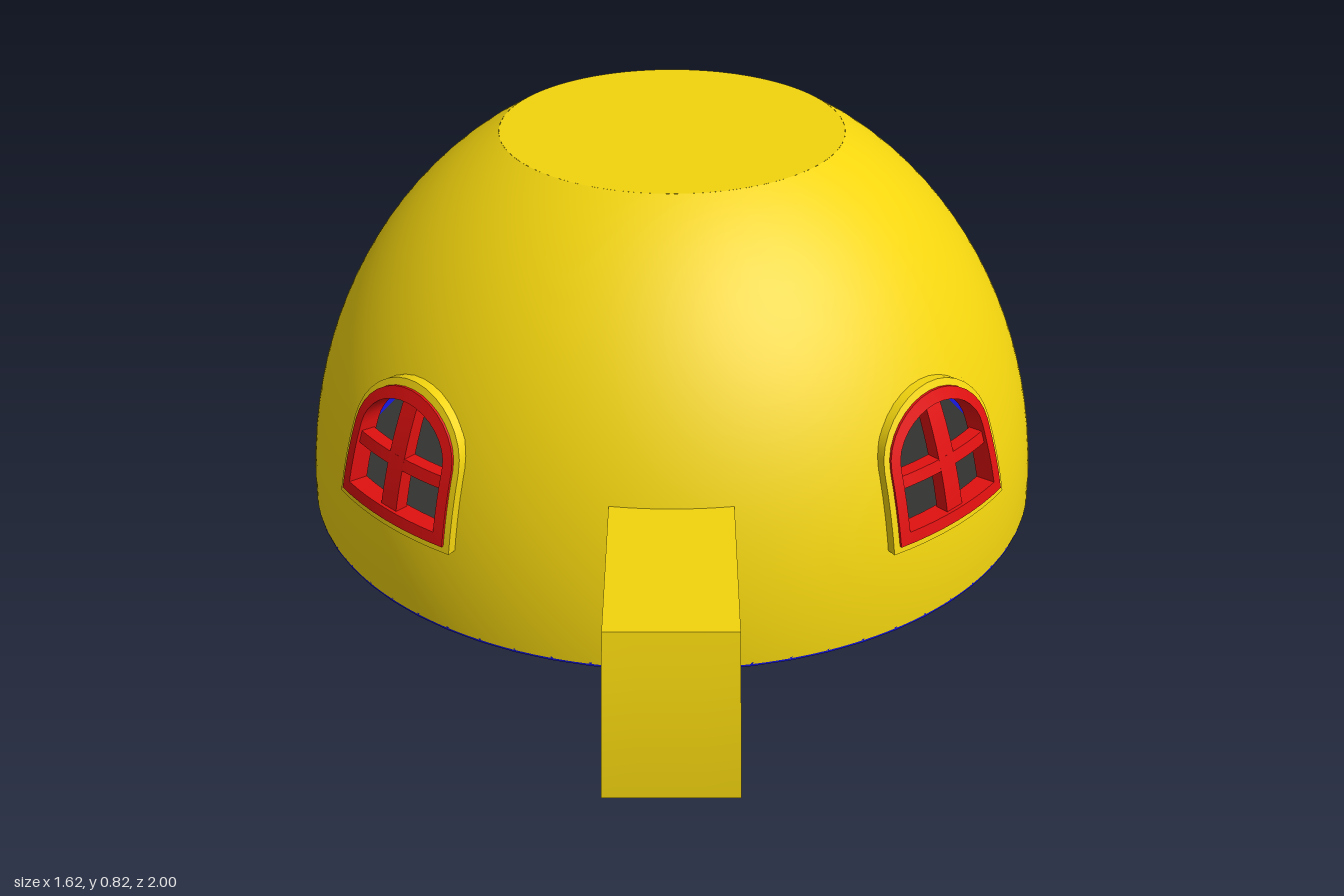
import * as THREE from 'three';
import { toCreasedNormals } from 'three/addons/utils/BufferGeometryUtils.js';
import { ParametricGeometry } from 'three/addons/geometries/ParametricGeometry.js';

const DOME_Z = -0.19, RADIUS = 0.81, HEIGHT = 0.92, TOP = 0.82, BASE = 0.005, SEAM = 0.545;
const WINDOWS = [Math.PI / 4, -Math.PI / 4, Math.PI * 3 / 4];
const HALF = 0.155, SILL = 0.2, SPRING = 0.35, ARCH = 0.11, BEND = 0.78;

const material = (color, side = THREE.FrontSide) =>
  new THREE.MeshStandardMaterial({ color, side });
const yellow = material(0xf2d40e);
const shell = material(0xf2d40e, THREE.DoubleSide);
const red = material(0xe01010);
const blue = material(0x1414d0);
const dark = material(0x333331);
const grey = material(0xcccccc);

function add(parent, name, geometry, mat) {
  const mesh = new THREE.Mesh(geometry, mat);
  mesh.name = name;
  parent.add(mesh);
  return mesh;
}

// Dome radius at a height, and a point on the dome pushed out by w
const domeRadius = y => RADIUS * Math.sqrt(1 - (y / HEIGHT) ** 2);
function onDome(angle, y, w, target = new THREE.Vector3()) {
  const r = domeRadius(y) + w;
  return target.set(r * Math.sin(angle), y, r * Math.cos(angle));
}

// Top edge of the wall opening at an angle; equals the sill where there is no window
function openingTop(angle) {
  for (const centre of WINDOWS) {
    const turn = Math.atan2(Math.sin(angle - centre), Math.cos(angle - centre));
    const s = turn * BEND / (HALF - 0.008);
    if (Math.abs(s) < 1) return SPRING + (ARCH - 0.008) * Math.sqrt(1 - s * s);
  }
  return SILL + 0.01;
}

// Wall patch between two edges given as functions of the angle
function wall(low, high, rows) {
  return new ParametricGeometry((u, v, target) => {
    const angle = u * Math.PI * 2;
    onDome(angle, THREE.MathUtils.lerp(low(angle), high(angle), v), 0, target);
  }, 240, rows);
}

// Closed window outline, inset by d (negative grows it), counter-clockwise
function outline(d) {
  const a = HALF - d, points = [];
  for (let i = 0; i < 8; i++) points.push([-a + 2 * a * i / 8, SILL + d]);
  for (let i = 0; i < 4; i++) points.push([a, SILL + d + (SPRING - SILL - d) * i / 4]);
  for (let i = 0; i <= 16; i++) {
    const t = Math.PI * i / 16;
    points.push([a * Math.cos(t), SPRING + (ARCH - d) * Math.sin(t)]);
  }
  for (let i = 1; i < 4; i++) points.push([-a, SPRING - (SPRING - SILL - d) * i / 4]);
  return points;
}

// Rectangular strip between two edges, bent over the dome
function band(outer, inner, w0, w1, closed) {
  const n = outer.length, positions = [], index = [];
  for (let i = 0; i < n; i++) {
    for (const [p, w] of [[outer[i], w0], [outer[i], w1], [inner[i], w1], [inner[i], w0]]) {
      positions.push(...onDome(p[0] / BEND, p[1], w).toArray());
    }
  }
  for (let i = 0; i < (closed ? n : n - 1); i++) {
    for (let k = 0; k < 4; k++) {
      const a = i * 4 + k, b = ((i + 1) % n) * 4 + k;
      const d = i * 4 + (k + 1) % 4, c = ((i + 1) % n) * 4 + (k + 1) % 4;
      index.push(a, b, d, b, c, d);
    }
  }
  const geometry = new THREE.BufferGeometry();
  geometry.setAttribute('position', new THREE.Float32BufferAttribute(positions, 3));
  geometry.setIndex(index);
  return toCreasedNormals(geometry, 0.6);
}

// Straight glazing bar running from one point to another
function glazingBar(from, to, width) {
  const length = Math.hypot(to[0] - from[0], to[1] - from[1]);
  const nx = (to[1] - from[1]) / length * width / 2, ny = -(to[0] - from[0]) / length * width / 2;
  const right = [], left = [];
  for (let i = 0; i <= 8; i++) {
    const x = from[0] + (to[0] - from[0]) * i / 8, y = from[1] + (to[1] - from[1]) * i / 8;
    right.push([x + nx, y + ny]);
    left.push([x - nx, y - ny]);
  }
  return band(right, left, -0.01, 0.018, false);
}

function createWindow() {
  const group = new THREE.Group();
  add(group, 'windowCasing', band(outline(-0.014), outline(0.004), -0.02, 0.02, true), yellow);
  add(group, 'windowFrame', band(outline(0), outline(0.024), -0.015, 0.025, true), red);
  add(group, 'verticalBar', glazingBar([0, SILL + 0.01], [0, SPRING + ARCH - 0.01], 0.046), red);
  add(group, 'horizontalBar', glazingBar([-HALF + 0.01, 0.32], [HALF - 0.01, 0.32], 0.024), red);
  return group;
}

// Flat ring of the floor, with an upper and a lower face
function addFloorRing(parent, name, inner, outer, mat) {
  const ring = new THREE.RingGeometry(inner, outer, 64);
  add(parent, name + 'Top', ring, mat).rotation.x = -Math.PI / 2;
  add(parent, name + 'Underside', ring, mat).rotation.x = Math.PI / 2;
  parent.children.at(-2).position.y = 0.008;
}

// Entrance block: back follows the dome, front leans back slightly
function entranceGeometry() {
  const height = 0.335;
  const geometry = new THREE.BoxGeometry(0.25, height, 1, 4, 6, 1);
  const position = geometry.attributes.position;
  for (let i = 0; i < position.count; i++) {
    const y = position.getY(i) + height / 2, t = y / height;
    const x = position.getX(i) * (1 - 0.04 * t);
    const back = Math.sqrt(domeRadius(y) ** 2 - x * x) + DOME_Z - 0.01;
    const front = 1 - 0.035 * t * t;
    position.setXYZ(i, x, y + 0.002 * (1 - t), position.getZ(i) > 0 ? front : back);
  }
  geometry.computeVertexNormals();
  return geometry;
}

export function createModel() {
  const model = new THREE.Group();
  const house = new THREE.Group();
  house.name = 'domeHouse';
  house.position.z = DOME_Z;
  model.add(house);

  // Dome wall with window openings, the cap above the seam and the flat roof
  add(house, 'lowerWall', wall(() => BASE, () => SILL + 0.01, 4), shell);
  add(house, 'upperWall', wall(openingTop, () => SEAM, 8), shell);
  add(house, 'domeCap', wall(() => SEAM, () => TOP, 8), shell);
  const roof = add(house, 'flatRoof', new THREE.CircleGeometry(domeRadius(TOP), 64), shell);
  roof.rotation.x = -Math.PI / 2;
  roof.position.y = TOP;

  // Three arched windows
  WINDOWS.forEach((angle, i) => {
    const unit = createWindow();
    unit.name = `window${i + 1}`;
    unit.rotation.y = angle;
    house.add(unit);
  });

  // Floor: blue rings around dark paving, closed by a thin blue rim
  addFloorRing(house, 'outerFloorRing', 0.73, RADIUS, blue);
  addFloorRing(house, 'outerPaving', 0.42, 0.73, dark);
  addFloorRing(house, 'innerFloorRing', 0.365, 0.42, blue);
  addFloorRing(house, 'innerPaving', 0.002, 0.365, dark);
  const rim = new THREE.CylinderGeometry(RADIUS, RADIUS, 0.008, 64, 1, true);
  add(house, 'floorRim', rim, blue).position.y = 0.004;

  // Entrance with a grey underside
  add(model, 'entrance', entranceGeometry(), yellow);
  const underside = new THREE.PlaneGeometry(0.25, 0.38);
  const sole = add(model, 'entranceUnderside', underside, grey);
  sole.rotation.x = Math.PI / 2;
  sole.position.set(0, 0.001, 0.81);
  return model;
}
